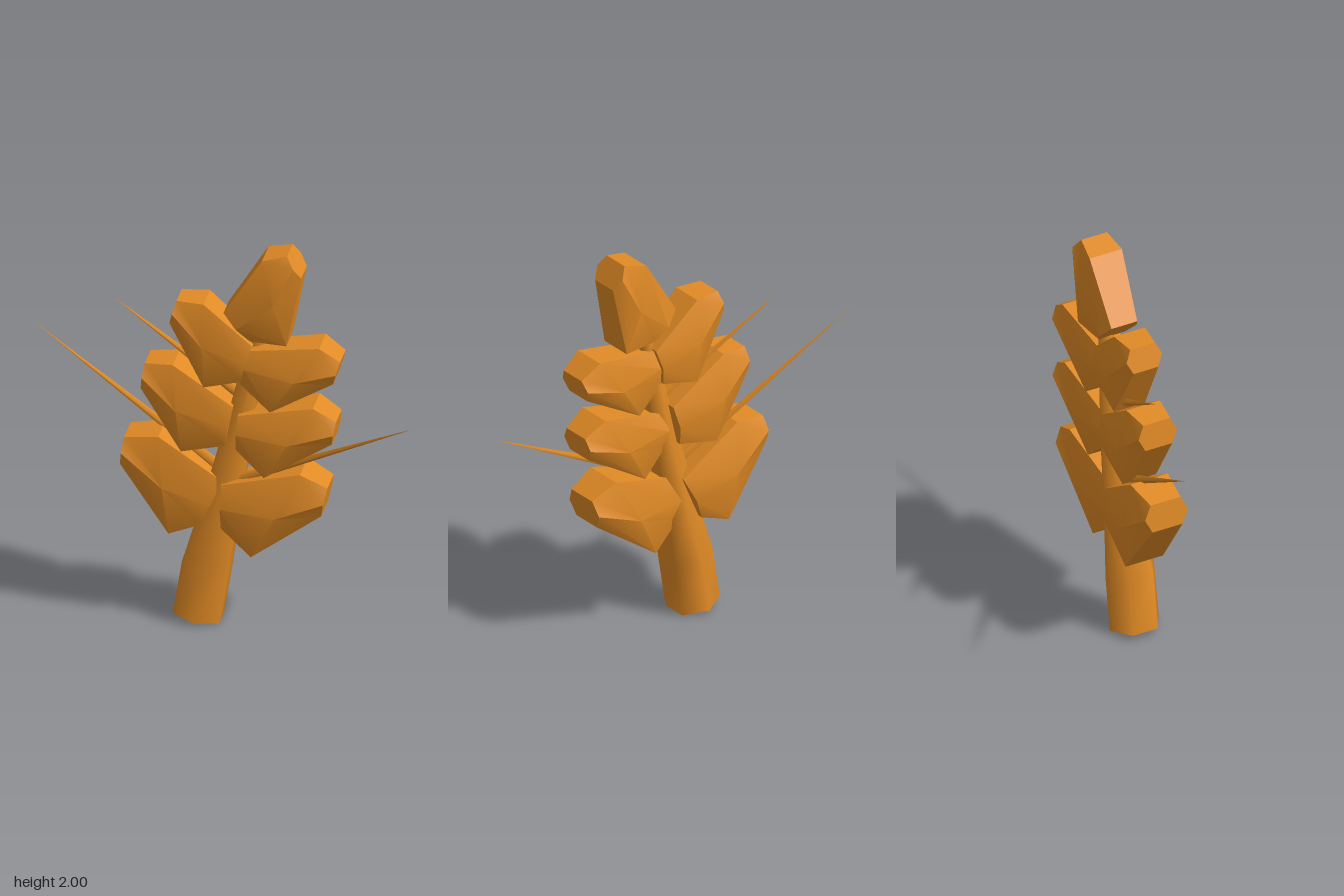
import * as THREE from 'three';
import { toCreasedNormals } from 'three/addons/utils/BufferGeometryUtils.js';

// Skin a list of equal-sized rings (counter-clockwise about the growth direction) and cap both ends
function loft(rings, crease) {
  const n = rings[0].length, index = [];
  for (let i = 0; i < rings.length - 1; i++) {
    for (let j = 0; j < n; j++) {
      const a = i * n + j, b = i * n + (j + 1) % n;
      index.push(a, b, b + n, a, b + n, a + n);
    }
  }
  const last = (rings.length - 1) * n;
  for (let j = 1; j < n - 1; j++) {
    index.push(0, j + 1, j, last, last + j, last + j + 1);
  }
  const g = new THREE.BufferGeometry();
  g.setAttribute('position', new THREE.Float32BufferAttribute(rings.flat(2), 3));
  g.setIndex(index);
  return toCreasedNormals(g, crease);
}

// Grain: three six-sided sections (base, belly, tip), each spanning from a left to a right corner
function grainGeometry(sections, zc, depth) {
  const scale = [0.8, 1, 0.8];
  const rings = sections.map(([ax, ay, bx, by], i) => {
    const full = depth * scale[i], band = full * 0.7;
    const mx = (ax + bx) / 2, my = (ay + by) / 2;
    return [
      [ax, ay, zc + band], [mx, my, zc + full], [bx, by, zc + band],
      [bx, by, zc - band], [mx, my, zc - full], [ax, ay, zc - band],
    ];
  });
  return loft(rings, 0.6);
}

// Stem: leaning hexagonal stalk through centres [x, y, radius]
function stemGeometry(points) {
  const rings = points.map(([x, y, r]) => Array.from({ length: 6 }, (_, k) => {
    const t = k * Math.PI / 3, s = r * Math.sin(t);
    return [x + s * 0.988, y - s * 0.155, -0.005 + r * Math.cos(t)];
  }));
  return loft(rings, 1.2);
}

export function createModel() {
  const group = new THREE.Group();
  const gold = new THREE.MeshStandardMaterial({ color: 0xe08a25 });
  gold.name = 'wheatGold';
  const add = (name, geometry) => {
    const mesh = new THREE.Mesh(geometry, gold);
    mesh.name = name;
    group.add(mesh);
    return mesh;
  };

  add('stem', stemGeometry([
    [-0.13, 0.022, 0.132], [-0.085, 0.3, 0.132], [-0.02, 0.6, 0.105],
    [0.065, 1.0, 0.08], [0.165, 1.54, 0.04],
  ]));

  // Grains: name, z centre, half depth, [base, belly, tip]
  const grains = [
    ['lowerLeftGrain', 0.02, 0.145, [[0, 0.76, 0, 0.53], [0.39, 0.86, 0.15, 0.4], [0.52, 0.79, 0.49, 0.64]]],
    ['middleLeftGrain', 0.015, 0.13, [[0.08, 1.13, 0.07, 0.95], [0.45, 1.21, 0.21, 0.82], [0.56, 1.14, 0.54, 1.02]]],
    ['upperLeftGrain', 0.015, 0.125, [[0.14, 1.48, 0.09, 1.3], [0.48, 1.53, 0.24, 1.17], [0.58, 1.46, 0.545, 1.34]]],
    ['lowerRightGrain', -0.02, 0.145, [[-0.11, 0.52, 0, 0.76], [-0.26, 0.47, -0.31, 0.98], [-0.5, 0.81, -0.48, 0.955]]],
    ['middleRightGrain', -0.015, 0.13, [[0.01, 0.95, 0.05, 1.16], [-0.2, 0.91, -0.24, 1.365], [-0.4, 1.22, -0.38, 1.355]]],
    ['upperRightGrain', -0.01, 0.12, [[0.1, 1.3, 0.145, 1.49], [-0.09, 1.26, -0.09, 1.7], [-0.26, 1.58, -0.225, 1.7]]],
    ['topGrain', 0.015, 0.125, [[0.01, 1.67, 0.14, 1.53], [0.2, 1.97, 0.32, 1.53], [0.32, 2.0, 0.39, 1.89]]],
  ];
  for (const [name, zc, depth, sections] of grains) add(name, grainGeometry(sections, zc, depth));

  // Whiskers: slender four-sided spikes from base to tip
  const whiskers = [
    ['leftWhisker', [0.03, 0.75, 0.03], [0.945, 1.17, 0.155]],
    ['lowerRightWhisker', [0.01, 0.78, 0], [-0.955, 1.41, -0.165]],
    ['upperRightWhisker', [0.1, 1.18, -0.01], [-0.565, 1.605, -0.12]],
  ];
  for (const [name, from, to] of whiskers) {
    const a = new THREE.Vector3(...from), dir = new THREE.Vector3(...to).sub(a);
    const length = dir.length();
    const mesh = add(name, new THREE.ConeGeometry(0.03, length, 4).translate(0, length / 2, 0));
    mesh.position.copy(a);
    mesh.quaternion.setFromUnitVectors(new THREE.Vector3(0, 1, 0), dir.normalize());
  }
  return group;
}
